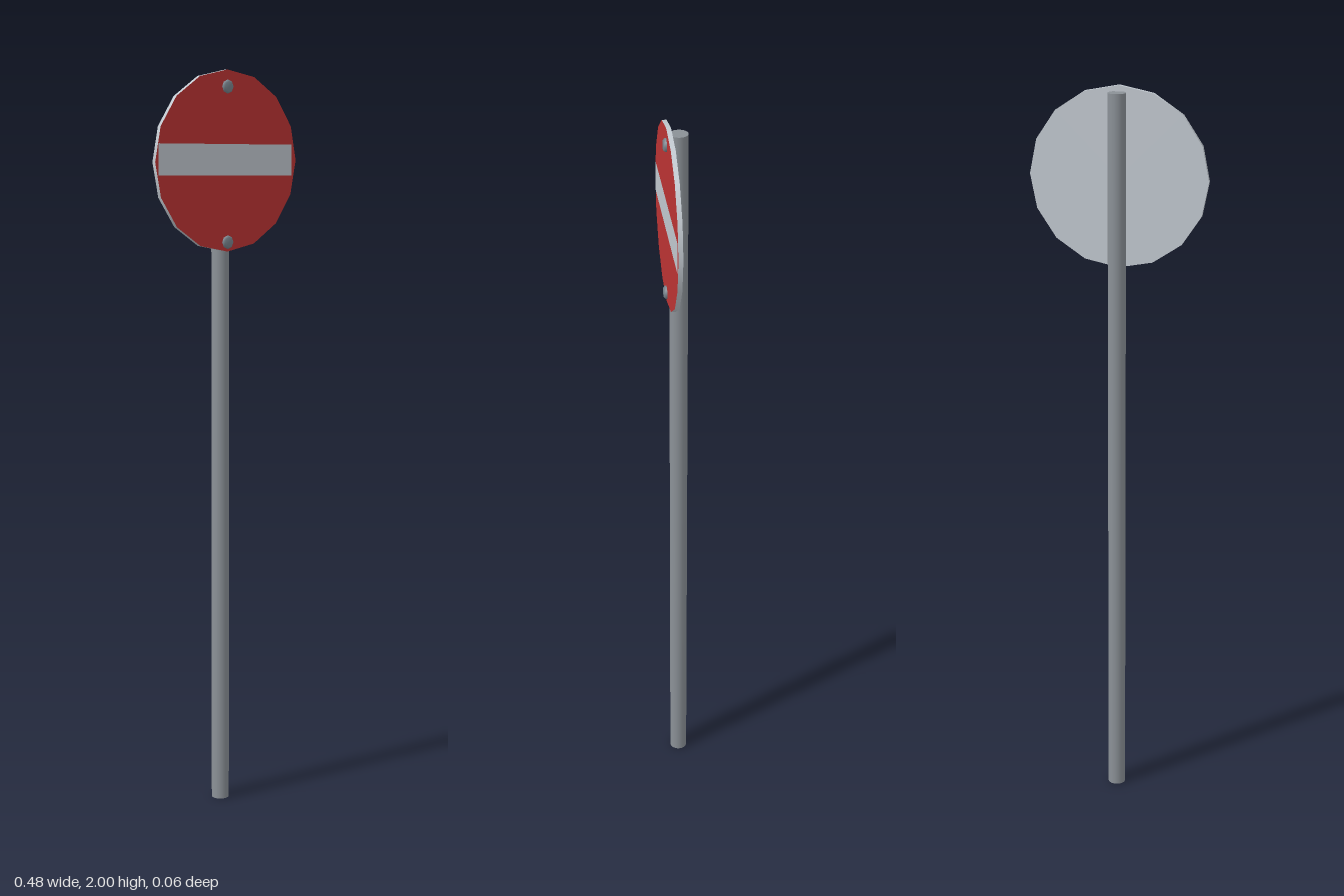
import * as THREE from 'three';

const material = (name, color) => {
  const m = new THREE.MeshStandardMaterial({ color });
  m.name = name;
  return m;
};

export function createModel() {
  const red = material('signRed', 0xbe3434);
  const silver = material('paleSilver', 0xc3cad1);
  const steel = material('poleSteel', 0x8b9197);
  const boltGrey = material('boltGrey', 0x78848d);

  const group = new THREE.Group();
  group.name = 'roadSign';
  const add = (name, geometry, mat, x, y, z) => {
    const mesh = new THREE.Mesh(geometry, mat);
    mesh.name = name;
    mesh.position.set(x, y, z);
    group.add(mesh);
    return mesh;
  };

  const signY = 1.763, signR = 0.238, poleTop = 1.985;

  // Upright pole
  add('pole', new THREE.CylinderGeometry(0.024, 0.024, poleTop, 16), steel, 0, poleTop / 2, -0.009);

  // Sixteen-sided disc: silver rim and back, red front (cap turned to +z)
  const disc = new THREE.CylinderGeometry(signR, signR, 0.012, 16).rotateX(Math.PI / 2);
  add('signDisc', disc, [silver, red, silver], 0, signY, 0.016).material = [silver, red, silver];

  // Slightly tilted horizontal bar on the face
  const bar = new THREE.Shape([
    new THREE.Vector2(-0.228, -0.034), new THREE.Vector2(0.222, -0.040),
    new THREE.Vector2(0.222, 0.042), new THREE.Vector2(-0.228, 0.048),
  ]);
  add('signBar', new THREE.ShapeGeometry(bar), silver, 0, signY, 0.0228);

  // Bolts through the disc into the pole, with chamfered heads
  const profile = [[0, 0], [0.017, 0], [0.018, 0.025], [0.013, 0.03], [0, 0.03]]
    .map(([r, h]) => new THREE.Vector2(r, h));
  for (const [name, y] of [['upperBolt', 1.957], ['lowerBolt', 1.55]]) {
    add(name, new THREE.LatheGeometry(profile, 8).rotateX(Math.PI / 2), boltGrey, 0, y, 0);
  }

  return group;
}
